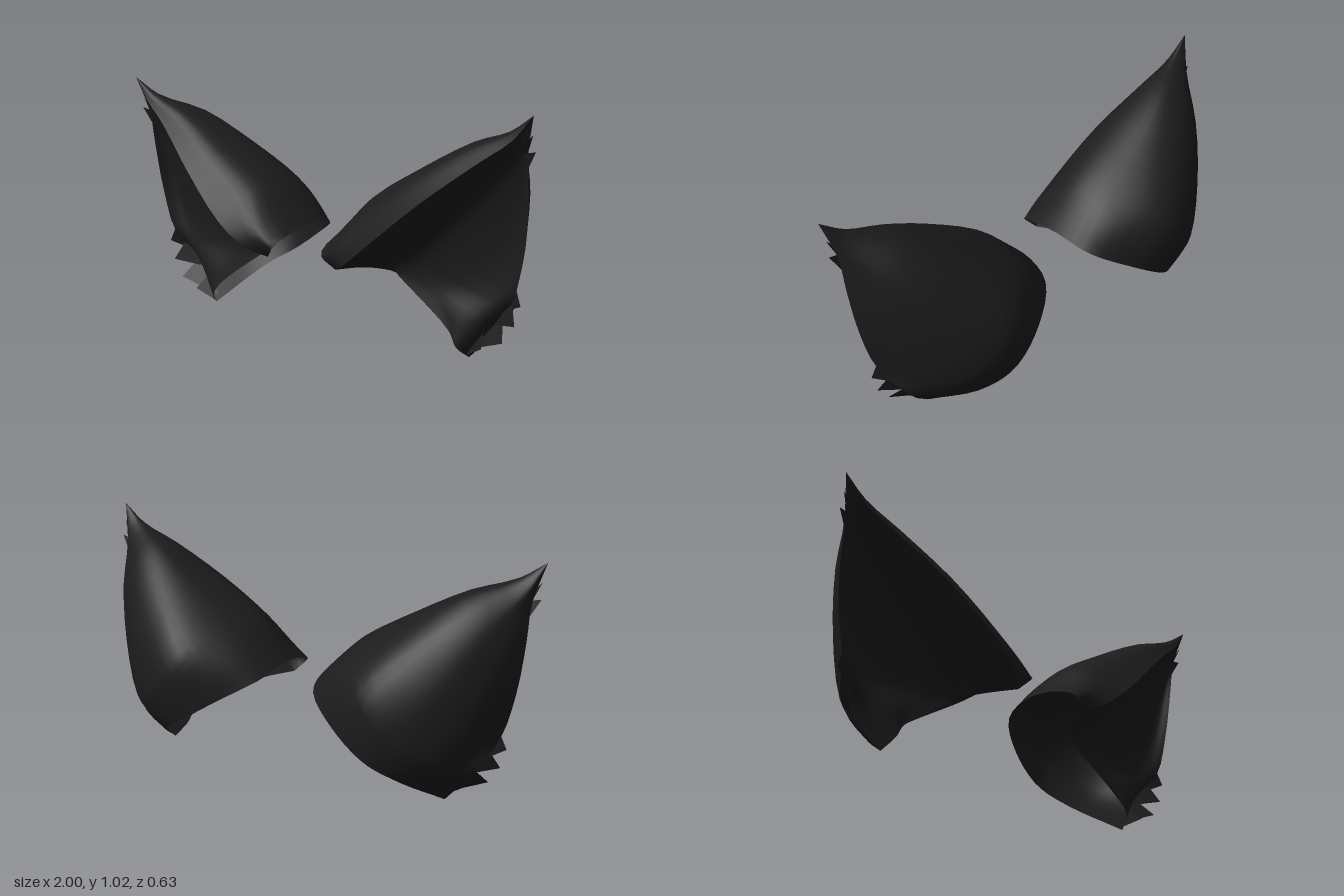
import * as THREE from 'three';

const fur = new THREE.MeshStandardMaterial({ color: 0x1c1c1c, side: THREE.DoubleSide });
fur.name = 'black fur';

const TIP = [1, 1.02, 0.145];

// Cross-sections of the back shell, base to tip: front ridge, over the back, to the outer rim
const backRows = [
  [[0.175, 0.333, 0.235], [0.123, 0.39, 0.262], [0.098, 0.453, 0.05], [0.13, 0.42, -0.14], [0.28, 0.33, -0.255], [0.44, 0.225, -0.285], [0.56, 0.145, -0.22], [0.67, 0, 0.005]],
  [[0.255, 0.375, 0.292], [0.2, 0.455, 0.26], [0.17, 0.53, 0.06], [0.21, 0.515, -0.14], [0.345, 0.435, -0.28], [0.5, 0.3, -0.305], [0.64, 0.19, -0.215], [0.81, 0.17, -0.06]],
  [[0.37, 0.465, 0.315], [0.29, 0.58, 0.21], [0.27, 0.63, 0.06], [0.31, 0.61, -0.12], [0.43, 0.53, -0.29], [0.56, 0.38, -0.31], [0.72, 0.26, -0.2], [0.885, 0.3, 0.03]],
  [[0.59, 0.66, 0.27], [0.5, 0.73, 0.19], [0.48, 0.76, 0.07], [0.5, 0.745, -0.07], [0.57, 0.67, -0.2], [0.69, 0.54, -0.23], [0.82, 0.47, -0.13], [0.935, 0.5, 0.055]],
  [[0.8, 0.83, 0.19], [0.73, 0.87, 0.15], [0.71, 0.885, 0.08], [0.72, 0.878, 0], [0.77, 0.83, -0.06], [0.83, 0.75, -0.085], [0.9, 0.7, -0.03], [0.955, 0.71, 0.08]],
  [[0.92, 0.92, 0.157], [0.9, 0.94, 0.145], [0.895, 0.95, 0.12], [0.905, 0.943, 0.1], [0.92, 0.92, 0.08], [0.94, 0.89, 0.07], [0.95, 0.87, 0.085], [0.96, 0.865, 0.105]],
];

// Inner points of the hollow front, between the ridge and the outer rim
const hollowRows = [
  [[0.25, 0.33, 0.12], [0.335, 0.305, 0.037], [0.355, 0.288, 0.037], [0.6, 0.11, 0.052], [0.64, 0.05, 0.06]],
  [[0.29, 0.37, 0.17], [0.345, 0.345, 0.055], [0.52, 0.24, 0.03], [0.71, 0.16, 0.035]],
  [[0.378, 0.425, 0.195], [0.425, 0.395, 0.065], [0.585, 0.31, 0.015], [0.79, 0.27, 0.01]],
  [[0.6, 0.615, 0.175], [0.645, 0.585, 0.07], [0.77, 0.51, 0.02], [0.885, 0.485, 0.015]],
  [[0.808, 0.8, 0.142], [0.835, 0.77, 0.087], [0.885, 0.728, 0.055], [0.932, 0.705, 0.052]],
  [[0.93, 0.905, 0.135], [0.94, 0.89, 0.12], [0.948, 0.88, 0.11], [0.955, 0.87, 0.105]],
].map((mid, i) => [backRows[i][0], ...mid, backRows[i].at(-1)]);

// Ragged fur points on the outer rim: two roots and a free end
const tufts = [
  [[0.95, 0.9, 0.13], [0.95, 0.85, 0.1], [0.99, 0.945, 0.125]],
  [[0.95, 0.87, 0.11], [0.945, 0.79, 0.09], [0.995, 0.88, 0.11]],
  [[0.885, 0.33, 0.03], [0.79, 0.2, -0.04], [0.913, 0.26, 0.04]],
  [[0.85, 0.27, -0.005], [0.74, 0.14, -0.04], [0.89, 0.175, 0.042]],
  [[0.79, 0.2, -0.045], [0.66, 0.03, 0], [0.84, 0.1, 0.045]],
  [[0.72, 0.13, -0.02], [0.66, 0.01, 0.02], [0.75, 0.06, 0.05]],
];

const vec = (p) => new THREE.Vector3(...p);

// Smooth skin through cross-sections, closing at the tip
function skin(rows, side, flip, nc = 30, nr = 18) {
  const curves = rows.map((r) => new THREE.CatmullRomCurve3(r.map(vec)));
  const pos = [], index = [];
  for (let c = 0; c <= nc; c++) {
    const column = new THREE.CatmullRomCurve3([...curves.map((k) => k.getPoint(c / nc)), vec(TIP)]);
    for (let r = 0; r <= nr; r++) {
      const p = column.getPoint(r / nr);
      pos.push(p.x * side, p.y, p.z);
    }
  }
  for (let c = 0; c < nc; c++) {
    for (let r = 0; r < nr; r++) {
      const a = c * (nr + 1) + r, b = a + nr + 1;
      if (flip !== side < 0) index.push(a, b, a + 1, b, b + 1, a + 1);
      else index.push(a, a + 1, b, b, a + 1, b + 1);
    }
  }
  const g = new THREE.BufferGeometry();
  g.setAttribute('position', new THREE.Float32BufferAttribute(pos, 3));
  g.setIndex(index);
  g.computeVertexNormals();
  return g;
}

// Thin triangular fur points, facing forward
function tuftGeometry(side) {
  const pos = [];
  for (const [a, b, c] of tufts) {
    for (const p of side > 0 ? [a, b, c] : [a, c, b]) pos.push(p[0] * side, p[1], p[2]);
  }
  const g = new THREE.BufferGeometry();
  g.setAttribute('position', new THREE.Float32BufferAttribute(pos, 3));
  g.computeVertexNormals();
  return g;
}

export function createModel() {
  const model = new THREE.Group();
  model.name = 'pair of ears';
  for (const side of [1, -1]) {
    const ear = new THREE.Group();
    ear.name = side > 0 ? 'leftEar' : 'rightEar';
    const add = (name, geometry) => {
      const mesh = new THREE.Mesh(geometry, fur);
      mesh.name = name;
      ear.add(mesh);
    };
    add('backShell', skin(backRows, side, false));
    add('innerHollow', skin(hollowRows, side, true));
    add('rimTufts', tuftGeometry(side));
    model.add(ear);
  }
  return model;
}
